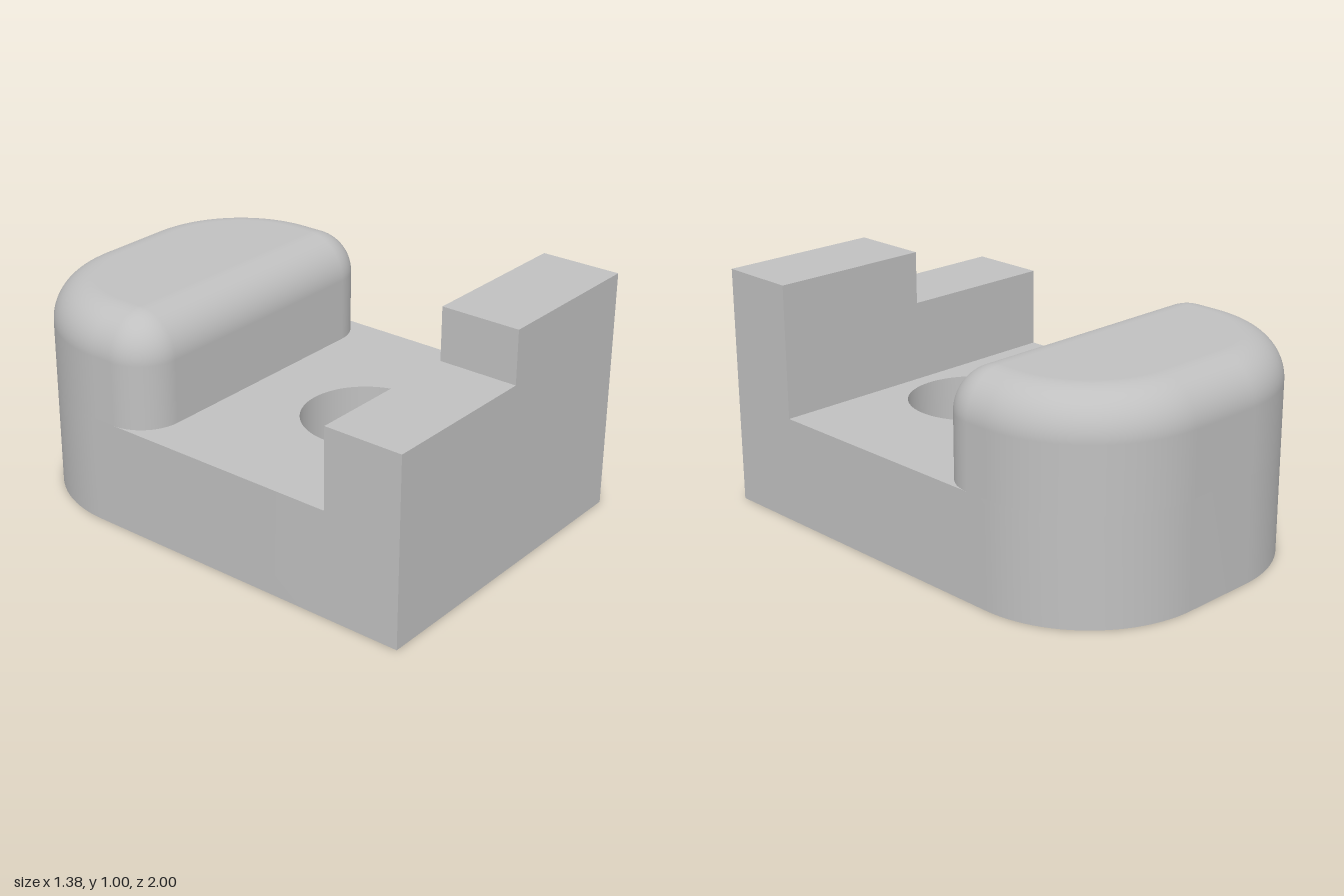
import * as THREE from 'three';
import { toCreasedNormals } from 'three/addons/utils/BufferGeometryUtils.js';

const HALF = 0.69;         // half width
const FLOOR = 0.445;       // top of the base plate
const BLOCK_TOP = 0.89;
const FILLET = 0.177;      // block top edge and front corners
const REAR_R = 0.53;       // large rear corners
const WALL_Z = 0.667;      // inner face of the front wall

// Plan outlines use (x, s) with s = -z, counter-clockwise.
// Each corner is an arc: centre, radius, start angle in quarter turns.
const rearCorners = [
  [HALF - REAR_R, 1 - REAR_R, REAR_R, 0],
  [REAR_R - HALF, 1 - REAR_R, REAR_R, 1],
];
const frontS = 0.2 + FILLET;
const blockCorners = [
  [HALF - FILLET, frontS, FILLET, -1],
  ...rearCorners,
  [FILLET - HALF, frontS, FILLET, 2],
];

function outline(corners, steps = 24) {
  const points = [];
  for (const [cx, cs, r, quarter] of corners) {
    for (let i = 0; i <= steps; i++) {
      const a = (quarter + i / steps) * Math.PI / 2;
      const nx = Math.cos(a), ns = Math.sin(a);
      points.push({ x: cx + nx * r, s: cs + ns * r, nx, ns });
    }
  }
  return points;
}

// Base plate with rounded rear corners and a through hole
function baseGeometry() {
  const points = outline(rearCorners).map(p => new THREE.Vector2(p.x, p.s));
  points.push(new THREE.Vector2(-HALF, -WALL_Z), new THREE.Vector2(HALF, -WALL_Z));
  const shape = new THREE.Shape(points);
  shape.holes.push(new THREE.Path().absarc(0, -0.333, 0.265, 0, Math.PI * 2, true));
  const geometry = new THREE.ExtrudeGeometry(shape, { depth: FLOOR, bevelEnabled: false, curveSegments: 64 });
  geometry.rotateX(-Math.PI / 2);
  return toCreasedNormals(geometry, 0.5);
}

// Stepped front wall, tall on the model's left
function wallGeometry() {
  const shape = new THREE.Shape([
    [-HALF, 0], [HALF, 0], [HALF, 1], [0, 1], [0, 0.78], [-HALF, 0.78],
  ].map(([x, y]) => new THREE.Vector2(x, y)));
  const geometry = new THREE.ExtrudeGeometry(shape, { depth: 1 - WALL_Z, bevelEnabled: false });
  return geometry.translate(0, 0, WALL_Z);
}

// Rear block: stacked outlines drawn inward along a quarter-round top edge
function blockGeometry() {
  const plan = outline(blockCorners), n = plan.length, steps = 16;
  const position = [], normal = [], index = [];
  const addRing = (inset, y, tilt) => {
    for (const p of plan) {
      position.push(p.x - p.nx * inset, y, -(p.s - p.ns * inset));
      normal.push(p.nx * Math.cos(tilt), Math.sin(tilt), -p.ns * Math.cos(tilt));
    }
  };
  addRing(0, FLOOR, 0);
  for (let k = 0; k <= steps; k++) {
    const t = k / steps * Math.PI / 2;
    addRing(FILLET * (1 - Math.cos(t)), BLOCK_TOP - FILLET * (1 - Math.sin(t)), t);
  }
  for (let k = 0; k <= steps; k++) {
    for (let i = 0; i < n; i++) {
      const j = (i + 1) % n, a = k * n, b = a + n;
      index.push(a + i, a + j, b + j, a + i, b + j, b + i);
    }
  }
  // flat top as a fan
  const rim = (steps + 1) * n, centre = rim + n;
  position.push(0, BLOCK_TOP, -0.6);
  normal.push(0, 1, 0);
  for (let i = 0; i < n; i++) index.push(centre, rim + i, rim + (i + 1) % n);

  const geometry = new THREE.BufferGeometry();
  geometry.setAttribute('position', new THREE.Float32BufferAttribute(position, 3));
  geometry.setAttribute('normal', new THREE.Float32BufferAttribute(normal, 3));
  geometry.setIndex(index);
  return geometry;
}

export function createModel() {
  const grey = new THREE.MeshStandardMaterial({ color: 0xc0c0c0 });
  grey.name = 'light grey';
  const model = new THREE.Group();
  model.name = 'bracket';
  const add = (name, geometry) => {
    const mesh = new THREE.Mesh(geometry, grey);
    mesh.name = name;
    model.add(mesh);
  };
  add('basePlate', baseGeometry());
  add('frontWall', wallGeometry());
  add('rearBlock', blockGeometry());
  return model;
}
